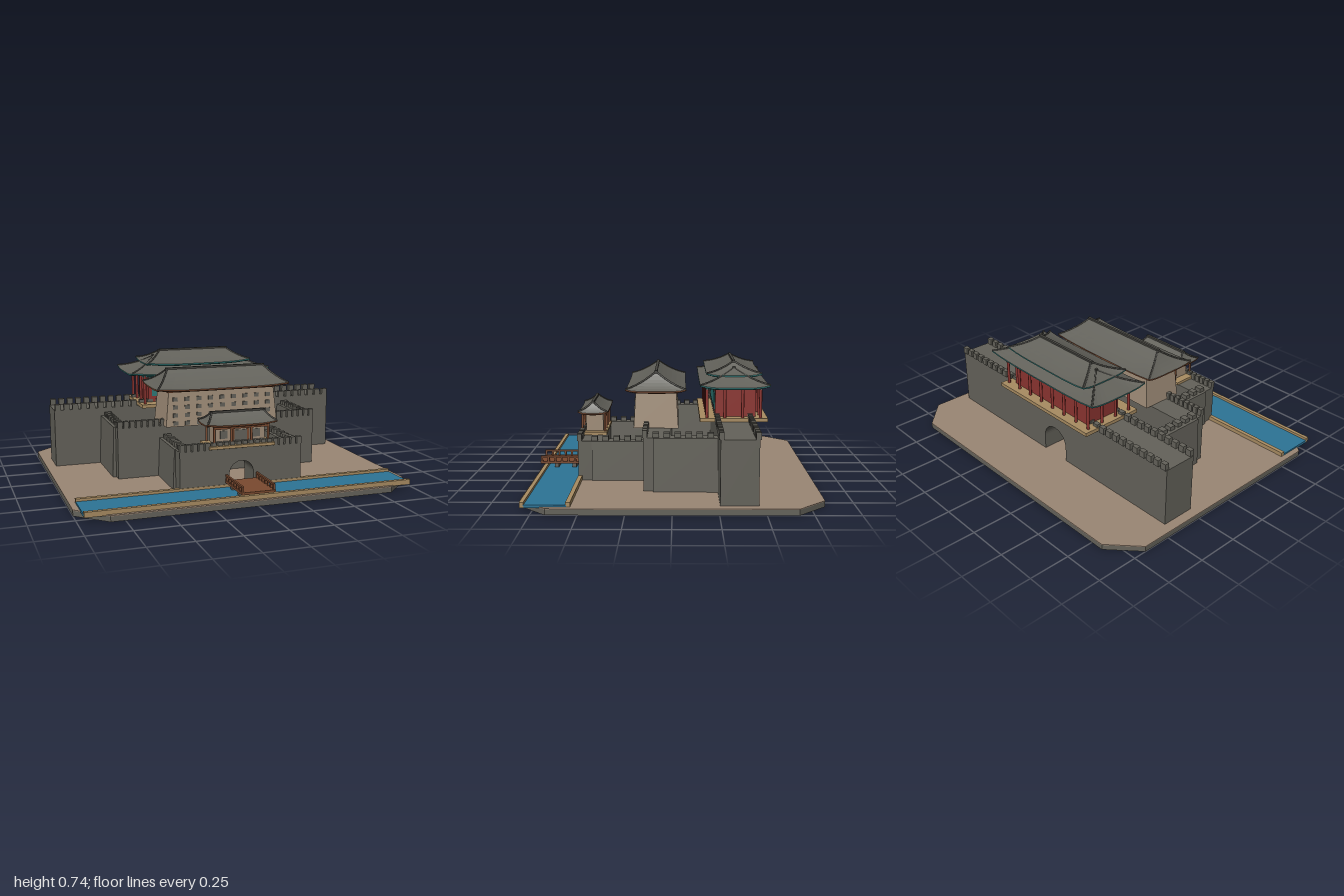
import * as THREE from 'three';

const mat = (name, color, side = THREE.FrontSide) => {
  const m = new THREE.MeshStandardMaterial({ color, side });
  m.name = name;
  return m;
};

export function createModel() {
  const root = new THREE.Group();
  root.name = 'fortressGate';
  const stone = mat('stone', 0x64625a);
  const tile = mat('roofTile', 0x62615a, THREE.DoubleSide);
  const ridgeTile = mat('ridgeTile', 0x45443f);
  const earth = mat('earth', 0x9a8674);
  const plaster = mat('plaster', 0xa08d78);
  const sand = mat('sandstone', 0xa88c62);
  const wood = mat('wood', 0x7a4a30, THREE.DoubleSide);
  const red = mat('redPaint', 0x8c3430);
  const teal = mat('teal', 0x2f7a78, THREE.DoubleSide);
  const water = mat('water', 0x2c7496);

  const add = (name, geo, m, parent = root) => {
    const mesh = new THREE.Mesh(geo, m);
    mesh.name = name;
    parent.add(mesh);
    return mesh;
  };
  // Box given by its limits on each axis
  const box = (name, m, x0, x1, y0, y1, z0, z1, parent = root) =>
    add(name, new THREE.BoxGeometry(x1 - x0, y1 - y0, z1 - z0)
      .translate((x0 + x1) / 2, (y0 + y1) / 2, (z0 + z1) / 2), m, parent);
  // Box whose top is scaled about its own axis
  const taperBox = (name, m, w, h, d, sx, sz, x, y, z, parent = root) => {
    const g = new THREE.BoxGeometry(w, h, d);
    const p = g.attributes.position;
    for (let i = 0; i < p.count; i++) {
      if (p.getY(i) > 0) { p.setX(i, p.getX(i) * sx); p.setZ(i, p.getZ(i) * sz); }
    }
    g.computeVertexNormals();
    return add(name, g.translate(x, y + h / 2, z), m, parent);
  };
  const group = (name) => {
    const g = new THREE.Group();
    g.name = name;
    root.add(g);
    return g;
  };

  // Octagonal base with an earth top
  const plate = (name, m, y, h) => {
    const pts = [[-1, -0.67], [-0.83, -0.83], [0.83, -0.83], [1, -0.67],
      [1, 0.67], [0.83, 0.83], [-0.83, 0.83], [-1, 0.67]];
    const s = new THREE.Shape(pts.map(([a, b]) => new THREE.Vector2(a, b)));
    const g = new THREE.ExtrudeGeometry(s, { depth: h, bevelEnabled: false });
    add(name, g.rotateX(-Math.PI / 2).translate(0, y, 0), m);
  };
  plate('base', stone, 0, 0.03);
  plate('ground', earth, 0.03, 0.005);

  // Moat
  box('moatWater', water, -0.965, 0.965, 0.028, 0.045, 0.56, 0.79);
  box('moatCurbBack', sand, -0.965, 0.965, 0.03, 0.06, 0.54, 0.565);
  box('moatCurbFront', sand, -0.965, 0.965, 0.03, 0.06, 0.787, 0.81);

  // Bridge
  const bridge = group('bridge');
  box('bridgeDeck', wood, -0.1, 0.1, 0.072, 0.086, 0.565, 0.83, bridge);
  for (const z of [0.62, 0.73]) box('bridgePier', stone, -0.085, 0.085, 0.045, 0.073, z - 0.012, z + 0.012, bridge);
  for (const s of [-1, 1]) {
    const x = s * 0.093;
    box('bridgeRail', wood, x - 0.006, x + 0.006, 0.11, 0.12, 0.565, 0.828, bridge);
    for (let i = 0; i < 7; i++) {
      const z = 0.573 + i * 0.0415;
      box('bridgePost', wood, x - 0.006, x + 0.006, 0.08, 0.12, z - 0.006, z + 0.006, bridge);
    }
  }

  // Wall across x with an open archway
  const archWall = (name, w, top, z0, z1, r, archTop, parent) => {
    const s = new THREE.Shape();
    s.moveTo(-w, 0.034);
    s.lineTo(-r, 0.034);
    s.lineTo(-r, archTop - r);
    s.absarc(0, archTop - r, r, Math.PI, 0, true);
    s.lineTo(r, 0.034);
    s.lineTo(w, 0.034);
    s.lineTo(w, top);
    s.lineTo(-w, top);
    const g = new THREE.ExtrudeGeometry(s, { depth: z1 - z0, bevelEnabled: false, curveSegments: 12 });
    add(name, g.translate(0, 0, z0), stone, parent);
  };
  // Row of merlons along x
  const merlonsX = (n, w, y, h, z, size, depth, parent) => {
    for (let i = 0; i < n; i++) {
      const x = -w + size / 2 + (i * (2 * w - size)) / (n - 1);
      box('merlon', stone, x - size / 2, x + size / 2, y, y + h, z - depth / 2, z + depth / 2, parent);
    }
  };

  // Rear city wall
  const rear = group('rearWall');
  archWall('rearWallBody', 0.94, 0.392, -0.462, -0.255, 0.098, 0.225, rear);
  for (const z of [-0.456, -0.261]) merlonsX(35, 0.935, 0.39, 0.04, z, 0.036, 0.028, rear);

  // Enclosure: a front wall with an archway and two battered side walls
  const enclosure = (name, w, top, zf0, zf1, sideX, zs0, zs1, n, frontN) => {
    const g = group(name);
    archWall('frontWall', w, top, zf0, zf1, 0.074, 0.195, g);
    merlonsX(frontN, w, top, 0.042, zf1 - 0.008, 0.028, 0.028, g);
    for (const s of [-1, 1]) {
      taperBox('sideWall', stone, 0.1, top - 0.034, zs1 - zs0, 0.8, 1, s * sideX, 0.034, (zs0 + zs1) / 2, g);
      for (let i = 0; i < n; i++) {
        const z = zs0 + 0.045 + (i * (zs1 - zs0 - 0.06)) / (n - 1);
        box('merlon', stone, s * sideX - 0.022, s * sideX + 0.022, top, top + 0.026, z - 0.018, z + 0.018, g);
      }
    }
  };
  enclosure('middleEnclosure', 0.635, 0.342, 0.01, 0.165, 0.607, -0.26, 0.11, 6, 34);
  enclosure('frontEnclosure', 0.372, 0.27, 0.42, 0.562, 0.338, 0.16, 0.48, 5, 20);

  // Curved hip roof made from rectangular rings, corners swept upward
  const hipRoof = (name, o, trim) => {
    const g = group(name);
    g.position.set(0, 0, o.z);
    const rings = [];
    for (let i = 0; i <= 6; i++) {
      const t = i / 6;
      rings.push({ x: o.ex + (o.rx - o.ex) * t, z: o.ez + (0.004 - o.ez) * t,
        y: o.y + (o.top - o.y) * (0.65 * t + 0.35 * t * t), lift: o.lift * (1 - t) ** 2 });
    }
    const eave = rings[0];
    const under = [
      { x: o.rx * 0.8, z: 0.004, y: o.y - 0.004, lift: 0 },
      { ...eave, x: eave.x - 0.012, z: eave.z - 0.012, y: eave.y - 0.014 },
      { ...eave, y: eave.y - 0.008 }, eave];
    const point = (r, k, s) => {
      const y = r.y + r.lift * Math.abs(s) ** 4;
      return [[s * r.x, y, r.z], [r.x, y, -s * r.z], [-s * r.x, y, -r.z], [-r.x, y, s * r.z]][k];
    };
    const skin = (list) => {
      const v = [];
      const n = 10;
      for (let k = 0; k < 4; k++) for (let j = 0; j < list.length - 1; j++) for (let i = 0; i < n; i++) {
        const s0 = -1 + (2 * i) / n, s1 = s0 + 2 / n;
        const a = point(list[j], k, s0), b = point(list[j], k, s1);
        const c = point(list[j + 1], k, s1), d = point(list[j + 1], k, s0);
        v.push(...a, ...b, ...c, ...a, ...c, ...d);
      }
      const geo = new THREE.BufferGeometry();
      geo.setAttribute('position', new THREE.Float32BufferAttribute(v, 3));
      geo.computeVertexNormals();
      return geo;
    };
    add('roofTiles', skin(rings), tile, g);
    add('eaveTrim', skin(under), trim, g);
    box('ridge', ridgeTile, -o.rx - 0.008, o.rx + 0.008, o.top - 0.008, o.top + 0.008, -0.008, 0.008, g);
    for (let k = 0; k < 4; k++) {
      const c = new THREE.CatmullRomCurve3(rings.map((r) => new THREE.Vector3(...point(r, k, 1))));
      add('hipRidge', new THREE.TubeGeometry(c, 8, 0.006, 5), ridgeTile, g);
    }
  };
  const column = (x, z, y0, y1, r, m, parent) =>
    add('column', new THREE.CylinderGeometry(r, r, y1 - y0, 8).translate(x, (y0 + y1) / 2, z), m, parent);

  // Archery tower over the middle gate
  const tower = group('archeryTower');
  taperBox('towerBody', plaster, 0.71, 0.22, 0.265, 0.94, 0.9, 0, 0.345, 0.1, tower);
  for (let r = 0; r < 4; r++) for (let c = 0; c < 9; c++) {
    const x = -0.296 + c * 0.074, y = 0.365 + r * 0.048, z = 0.2325 - (y - 0.345) * 0.06;
    box('towerWindow', stone, x - 0.015, x + 0.015, y - 0.012, y + 0.012, z - 0.004, z + 0.005, tower);
  }
  box('towerBeam', wood, -0.345, 0.345, 0.552, 0.566, -0.03, 0.23, tower);
  hipRoof('towerRoof', { ex: 0.415, ez: 0.178, rx: 0.31, y: 0.572, top: 0.675, lift: 0.012, z: 0.1 }, wood);

  // Small gatehouse over the front gate
  const gate = group('gatehouse');
  box('gatehouseFloor', sand, -0.2, 0.2, 0.275, 0.292, 0.405, 0.58, gate);
  box('gatehouseBody', plaster, -0.15, 0.15, 0.29, 0.4, 0.43, 0.535, gate);
  box('gatehouseDoor', stone, -0.04, 0.04, 0.295, 0.372, 0.533, 0.54, gate);
  for (const s of [-1, 1]) {
    box('doorFrame', wood, s * 0.045 - 0.006, s * 0.045 + 0.006, 0.292, 0.38, 0.533, 0.542, gate);
    box('gatehouseWindow', stone, s * 0.1 - 0.022, s * 0.1 + 0.022, 0.325, 0.372, 0.533, 0.539, gate);
  }
  for (const z of [0.418, 0.556]) {
    for (const x of [-0.165, -0.06, 0.06, 0.165]) column(x, z, 0.29, 0.41, 0.007, wood, gate);
    box('gatehouseBeam', wood, -0.17, 0.17, 0.385, 0.402, z - 0.006, z + 0.006, gate);
  }
  hipRoof('gatehouseRoof', { ex: 0.212, ez: 0.09, rx: 0.16, y: 0.41, top: 0.472, lift: 0.012, z: 0.49 }, wood);

  // Main hall on the rear wall
  const hall = group('mainHall');
  box('hallFloor', sand, -0.4, 0.4, 0.39, 0.412, -0.557, -0.158, hall);
  box('hallBody', red, -0.335, 0.335, 0.41, 0.6, -0.49, -0.25, hall);
  for (let i = 0; i < 8; i++) {
    const x = -0.37 + (i * 0.74) / 7;
    for (const z of [-0.2, -0.515]) column(x, z, 0.41, 0.6, 0.009, red, hall);
    if (i < 7) {
      const m = (x + 0.053) * 0.88;
      box('hallWindow', teal, m - 0.032, m + 0.032, 0.45, 0.55, -0.252, -0.245, hall);
    }
  }
  for (const z of [-0.2, -0.515]) box('hallBeam', teal, -0.38, 0.38, 0.58, 0.598, z - 0.007, z + 0.007, hall);
  for (const s of [-1, 1]) {
    box('hallEndBeam', teal, s * 0.37 - 0.007, s * 0.37 + 0.007, 0.58, 0.598, -0.515, -0.2, hall);
    for (const z of [-0.305, -0.41]) column(s * 0.37, z, 0.41, 0.6, 0.009, red, hall);
  }
  hipRoof('lowerHallRoof', { ex: 0.462, ez: 0.203, rx: 0.27, y: 0.6, top: 0.695, lift: 0.016, z: -0.362 }, teal);
  hipRoof('upperHallRoof', { ex: 0.345, ez: 0.163, rx: 0.23, y: 0.657, top: 0.73, lift: 0.014, z: -0.362 }, teal);

  return root;
}
